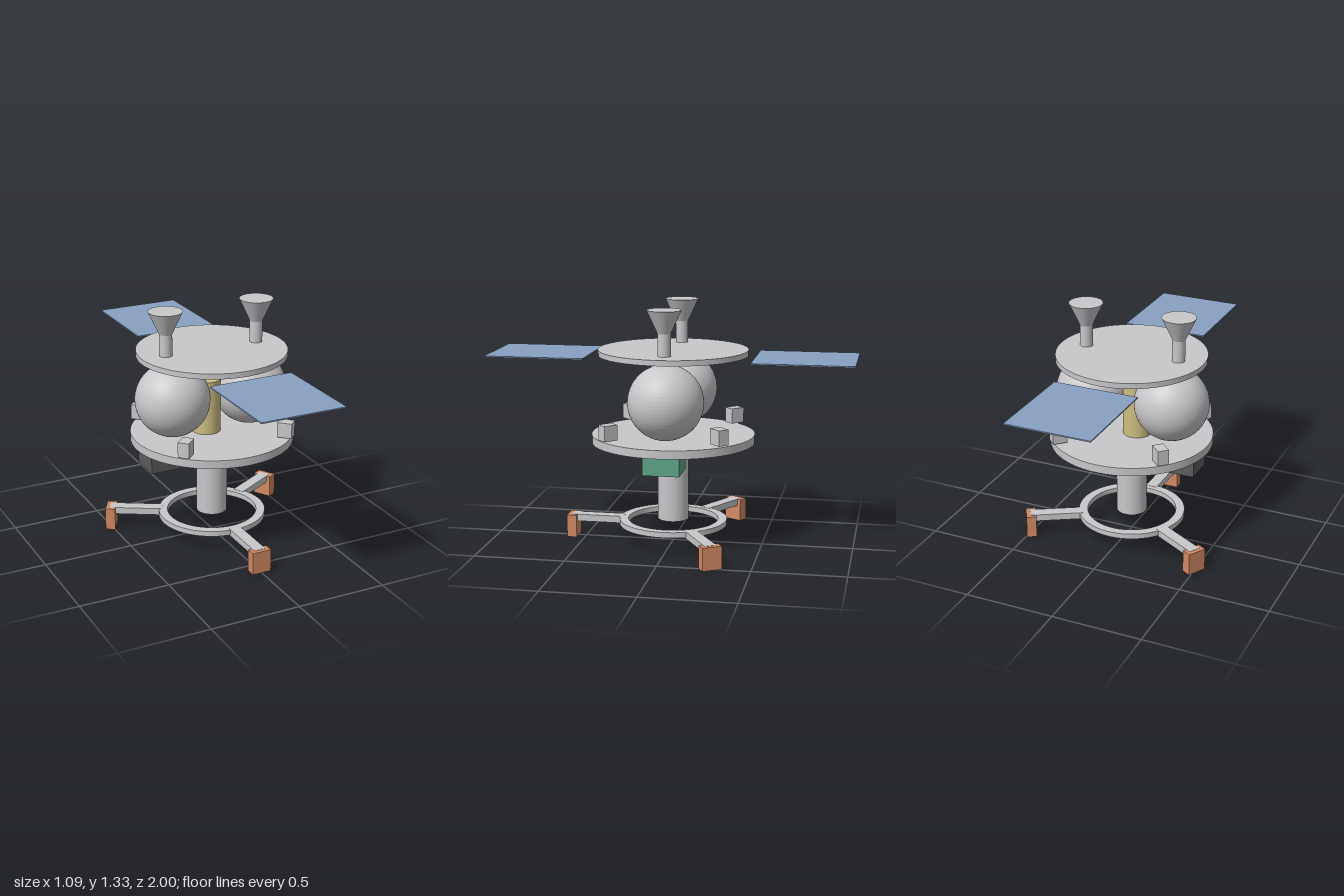
import * as THREE from 'three';

const mat = (name, color, flatShading = false) => {
  const m = new THREE.MeshStandardMaterial({ color, flatShading });
  m.name = name;
  return m;
};

export function createModel() {
  const root = new THREE.Group();
  root.name = 'lander';
  const grey = mat('light grey metal', 0xc8c8cb);
  const orange = mat('orange pads', 0xd28a64);
  const green = mat('green unit', 0x5fa588);
  const dark = mat('dark unit', 0x5b5a5d);
  const gold = mat('gold core', 0xcfbe82);
  const blue = mat('blue panels', 0x88a0c2);

  const add = (parent, name, geo, m, x = 0, y = 0, z = 0) => {
    const mesh = new THREE.Mesh(geo, m);
    mesh.name = name;
    mesh.position.set(x, y, z);
    parent.add(mesh);
    return mesh;
  };
  // Cylinder or cone between two heights
  const cyl = (name, rTop, rBottom, y0, y1, m, x = 0, seg = 48) =>
    add(root, name, new THREE.CylinderGeometry(rTop, rBottom, y1 - y0, seg), m, x, (y0 + y1) / 2, 0);
  // Box given by its minimum and maximum corners
  const box = (parent, name, a, b, m) =>
    add(parent, name, new THREE.BoxGeometry(b[0] - a[0], b[1] - a[1], b[2] - a[2]), m,
      (a[0] + b[0]) / 2, (a[1] + b[1]) / 2, (a[2] + b[2]) / 2);

  // Central column, decks and core
  cyl('column', 0.085, 0.085, 0.126, 0.567, grey);
  cyl('lowerDeck', 0.45, 0.45, 0.566, 0.612, grey, 0, 64);
  cyl('upperDeck', 0.412, 0.412, 1.05, 1.08, grey, 0, 64);
  cyl('core', 0.078, 0.078, 0.611, 0.913, gold, -0.033);

  // Spherical tanks, with the faceting of a fine icosphere
  const tankGeo = new THREE.IcosahedronGeometry(0.205, 9);
  for (const x of [-0.236, 0.231]) add(root, 'tank', tankGeo, grey, x, 0.825, 0);

  // Antenna stalks with flared horns
  for (const x of [-0.272, 0.27]) {
    cyl('antennaStalk', 0.035, 0.035, 1.079, 1.2, grey, x);
    cyl('antennaHorn', 0.093, 0.035, 1.2, 1.325, grey, x);
  }

  // Thin panels fore and aft
  box(root, 'frontPanel', [-0.236, 1.042, 0.452], [0.236, 1.049, 1], blue);
  box(root, 'backPanel', [-0.236, 1.042, -1], [0.236, 1.049, -0.452], blue);

  // Four small units, each turned to face outward
  for (let i = 0; i < 4; i++) {
    const angle = Math.PI / 4 + i * Math.PI / 2;
    const unit = add(root, 'cornerUnit', new THREE.BoxGeometry(0.062, 0.085, 0.082), grey,
      0.3 * Math.SQRT2 * Math.sin(angle), 0.665, 0.3 * Math.SQRT2 * Math.cos(angle));
    unit.rotation.y = angle;
  }

  // Equipment under the lower deck
  box(root, 'greenUnit', [0.19, 0.456, -0.1], [0.38, 0.567, 0.1], green);
  box(root, 'darkUnit', [-0.404, 0.45, -0.088], [-0.233, 0.567, 0.088], dark);

  // Landing ring
  const ringShape = new THREE.Shape().absarc(0, 0, 0.299, 0, Math.PI * 2, false);
  ringShape.holes.push(new THREE.Path().absarc(0, 0, 0.25, 0, Math.PI * 2, true));
  const ringGeo = new THREE.ExtrudeGeometry(ringShape, { depth: 0.03, bevelEnabled: false, curveSegments: 48 });
  ringGeo.rotateX(-Math.PI / 2);
  add(root, 'landingRing', ringGeo, grey, 0, 0.096, 0);

  // Three legs, each an arm let into a foot pad
  for (let i = 0; i < 3; i++) {
    const leg = new THREE.Group();
    leg.name = 'leg';
    leg.rotation.y = i * Math.PI * 2 / 3;
    box(leg, 'arm', [-0.033, 0.089, 0.279], [0.033, 0.1275, 0.576], grey);
    box(leg, 'foot', [-0.054, 0, 0.544], [0.054, 0.126, 0.599], orange);
    root.add(leg);
  }

  // Fine faceting on the tanks only
  tankGeo.computeVertexNormals();
  return root;
}
